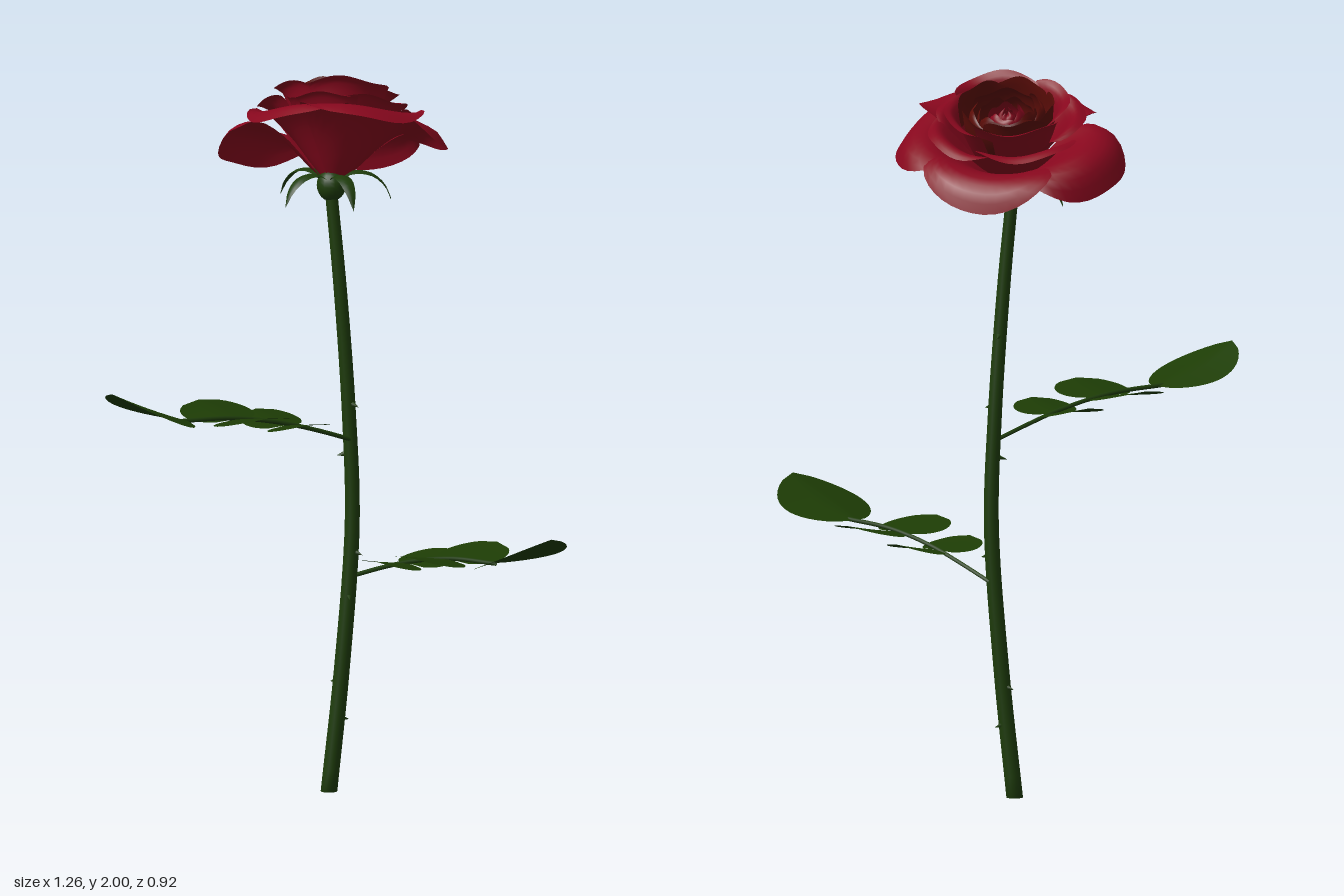
import * as THREE from 'three';

const V = (x, y, z) => new THREE.Vector3(x, y, z);
const mat = (name, color) => {
  const m = new THREE.MeshStandardMaterial({ color, side: THREE.DoubleSide });
  m.name = name;
  return m;
};

// Smooth grid surface from a rule f(u, v), u and v in 0..1
function surface(f, nu, nv) {
  const pos = [], idx = [];
  for (let j = 0; j <= nv; j++) {
    for (let i = 0; i <= nu; i++) pos.push(...f(i / nu, j / nv).toArray());
  }
  for (let j = 0; j < nv; j++) {
    for (let i = 0; i < nu; i++) {
      const a = j * (nu + 1) + i, b = a + 1, c = a + nu + 1, d = c + 1;
      idx.push(a, b, d, a, d, c);
    }
  }
  const g = new THREE.BufferGeometry();
  g.setAttribute('position', new THREE.Float32BufferAttribute(pos, 3));
  g.setIndex(idx);
  g.computeVertexNormals();
  return g;
}

function add(parent, name, geometry, material) {
  const mesh = new THREE.Mesh(geometry, material);
  mesh.name = name;
  parent.add(mesh);
  return mesh;
}

// Petal: a sector of a revolved profile [r, h] with a rounded, drooping lip
function petal(profile, angle, halfWidth, { droop = 0, spread = 1, round = 0.2, spiral = 0.06 }) {
  const curve = new THREE.CatmullRomCurve3(profile.map(([r, h]) => V(r * spread, h, 0)));
  return surface((uu, v) => {
    const u = uu * 2 - 1;
    const p = curve.getPoint(v * (1 - round * Math.abs(u) ** 2.6));
    const r = p.x * (1 + spiral * u);
    const a = angle + u * halfWidth * (1 - 0.1 * v ** 4);
    const h = p.y - droop * v ** 4 + 0.006 * Math.cos(u * 5 + angle * 3) * v * v;
    return V(r * Math.sin(a), h, r * Math.cos(a));
  }, 16, 12);
}

// Leaf: a rounded diamond, gently folded along the midrib
function leaf(base, dir, length, halfWidth, power, fold) {
  const d = dir.clone().normalize();
  const side = V(d.z, 0, -d.x).normalize();
  return surface((uu, v) => {
    const u = uu * 2 - 1;
    const w = halfWidth * Math.max(0, Math.sin(Math.PI * v)) ** power;
    const p = base.clone().addScaledVector(d, length * v).addScaledVector(side, u * w);
    p.y += fold * (v * v - Math.abs(u) * w / halfWidth);
    return p;
  }, 8, 16);
}

export function createModel() {
  const model = new THREE.Group();
  model.name = 'rose';
  const red = mat('petalRed', 0x87071d);
  const darkRed = mat('innerPetalRed', 0x5c0d08);
  const leafGreen = mat('leafGreen', 0x1d3c05);
  const stemGreen = mat('stemGreen', 0x1e3c0b);

  // Bowed, tapering stem with a closed foot
  const stemCurve = new THREE.CatmullRomCurve3([
    V(-0.065, 0.005, -0.093), V(-0.03, 0.35, -0.1), V(-0.003, 0.75, -0.108),
    V(-0.012, 1.05, -0.108), V(-0.035, 1.4, -0.1), V(-0.06, 1.67, -0.1),
  ]);
  add(model, 'stem', surface((u, v) => {
    const p = stemCurve.getPoint(Math.max(0, v - 1 / 30) * 30 / 29);
    const r = v === 0 ? 0 : 0.023 - 0.006 * v;
    const a = -u * Math.PI * 2;
    return p.add(V(r * Math.cos(a), 0, r * Math.sin(a)));
  }, 14, 30), stemGreen);

  // Thorns: [position along stem, azimuth]
  const thorns = [[0.12, 2.3], [0.18, -2.2], [0.3, 0.2], [0.36, 1.0],
    [0.53, -1.4], [0.62, 0.9], [0.73, 3.0]];
  for (const [t, a] of thorns) {
    const dir = V(Math.sin(a), -0.25, Math.cos(a)).normalize();
    const thorn = add(model, 'thorn', new THREE.ConeGeometry(0.008, 0.026, 6), stemGreen);
    thorn.position.copy(stemCurve.getPoint(t)).addScaledVector(dir, 0.028);
    thorn.quaternion.setFromUnitVectors(V(0, 1, 0), dir);
  }

  // Two leaf branches, mirrored, each with two leaflet pairs and an end leaf
  for (const [s, y, z] of [[-1, 0.98, 0], [1, 0.6, -0.02]]) {
    const branch = new THREE.Group();
    branch.name = s > 0 ? 'leftBranch' : 'rightBranch';
    model.add(branch);
    const at = (x, dy, pz) => V(s * x, y + dy, z + pz);
    const path = new THREE.CatmullRomCurve3([
      at(0, 0, -0.1), at(0.09, 0.04, -0.025), at(0.18, 0.075, 0.055),
      at(0.3, 0.105, 0.155), at(0.43, 0.115, 0.26),
    ]);
    add(branch, 'leafStalk', new THREE.TubeGeometry(path, 20, 0.006, 6), stemGreen);
    add(branch, 'endLeaf', leaf(at(0.41, 0.113, 0.25), V(s * 0.75, 0.34, 0.66),
      0.268, 0.142, 0.62, 0.018), leafGreen);
    const nodes = [[0.167, 0.066, 0.045, 0.135, 0.09], [0.293, 0.1, 0.145, 0.165, 0.108]];
    for (const [nx, ny, nz, length, width] of nodes) {
      for (const q of [-1, 1]) {
        const dir = V(s * (-0.66 * q + 0.05), 0.13, 0.75 * q + 0.02);
        add(branch, 'leaflet', leaf(at(nx, ny, nz), dir, length, width, 0.34, 0.008), leafGreen);
      }
    }
  }

  // Calyx: bulb and five curling sepals
  const bulb = add(model, 'calyxBulb', new THREE.SphereGeometry(0.04, 16, 12), stemGreen);
  bulb.position.set(-0.06, 1.685, -0.105);
  bulb.scale.y = 1.1;
  const sepalCurve = new THREE.CatmullRomCurve3([
    V(0.02, 0.005, 0), V(0.06, 0.025, 0), V(0.11, 0.018, 0), V(0.145, -0.012, 0), V(0.163, -0.052, 0),
  ]);
  for (let i = 0; i < 5; i++) {
    const sepal = add(model, 'sepal', surface((u, v) => {
      const p = sepalCurve.getPoint(v);
      const w = 0.022 * Math.sin(Math.PI * (0.25 + 0.75 * v));
      return V((u * 2 - 1) * w, p.y - 0.006 * (u * 2 - 1) ** 2, p.x);
    }, 4, 10), stemGreen);
    sepal.position.set(-0.06, 1.7, -0.105);
    sepal.rotation.y = 0.5 + i * Math.PI * 0.4;
  }

  // Flower head, tilted backward
  const flower = new THREE.Group();
  flower.name = 'flowerHead';
  flower.position.set(-0.057, 1.685, -0.112);
  flower.rotation.x = -0.39;
  model.add(flower);

  // Outer petals: [azimuth in degrees, droop, spread]
  const outer = [[26, -0.02, 0.94], [92, 0.0, 0.92], [168, 0.0, 0.98], [246, 0.035, 0.96], [330, -0.02, 0.86]];
  const outerProfile = [[0.015, 0], [0.07, 0.05], [0.15, 0.125], [0.23, 0.17], [0.295, 0.16], [0.335, 0.11]];
  for (const [deg, droop, spread] of outer) {
    add(flower, 'outerPetal', petal(outerProfile, THREE.MathUtils.degToRad(deg), 0.86,
      { droop, spread, round: 0.3, spiral: 0.04 }), red);
  }

  // Inner rings: [name, count, half width, start angle, material, profile]
  const rings = [
    ['middlePetal', 5, 0.78, 1.0, red, [[0.015, 0.02], [0.09, 0.1], [0.15, 0.18], [0.185, 0.218], [0.215, 0.216]]],
    ['upperPetal', 4, 0.95, 0.3, red, [[0.015, 0.03], [0.09, 0.11], [0.125, 0.19], [0.15, 0.25], [0.175, 0.265]]],
    ['corePetal', 5, 0.8, 0.9, darkRed, [[0.02, 0.04], [0.09, 0.12], [0.12, 0.2], [0.125, 0.25], [0.128, 0.27]]],
    ['corePetal', 4, 0.95, 0.2, darkRed, [[0.02, 0.05], [0.08, 0.13], [0.105, 0.2], [0.102, 0.24], [0.092, 0.255]]],
    ['corePetal', 4, 0.95, 1.1, darkRed, [[0.02, 0.05], [0.06, 0.13], [0.08, 0.2], [0.076, 0.23], [0.066, 0.248]]],
    ['heartPetal', 3, 1.2, 0.5, red, [[0.015, 0.06], [0.04, 0.14], [0.052, 0.2], [0.047, 0.23], [0.036, 0.245]]],
    ['heartPetal', 3, 1.2, 1.4, red, [[0.01, 0.06], [0.022, 0.14], [0.028, 0.2], [0.022, 0.23], [0.006, 0.243]]],
  ];
  for (const [name, count, halfWidth, start, material, profile] of rings) {
    for (let i = 0; i < count; i++) {
      const angle = start + i * 2 * Math.PI / count;
      // Petals reach further toward the back of the head
      const spread = name === 'middlePetal' ? 1 - 0.14 * Math.cos(angle) : 1;
      add(flower, name, petal(profile, angle, halfWidth, { droop: 0.006 * (i % 2), spread }), material);
    }
  }
  return model;
}
